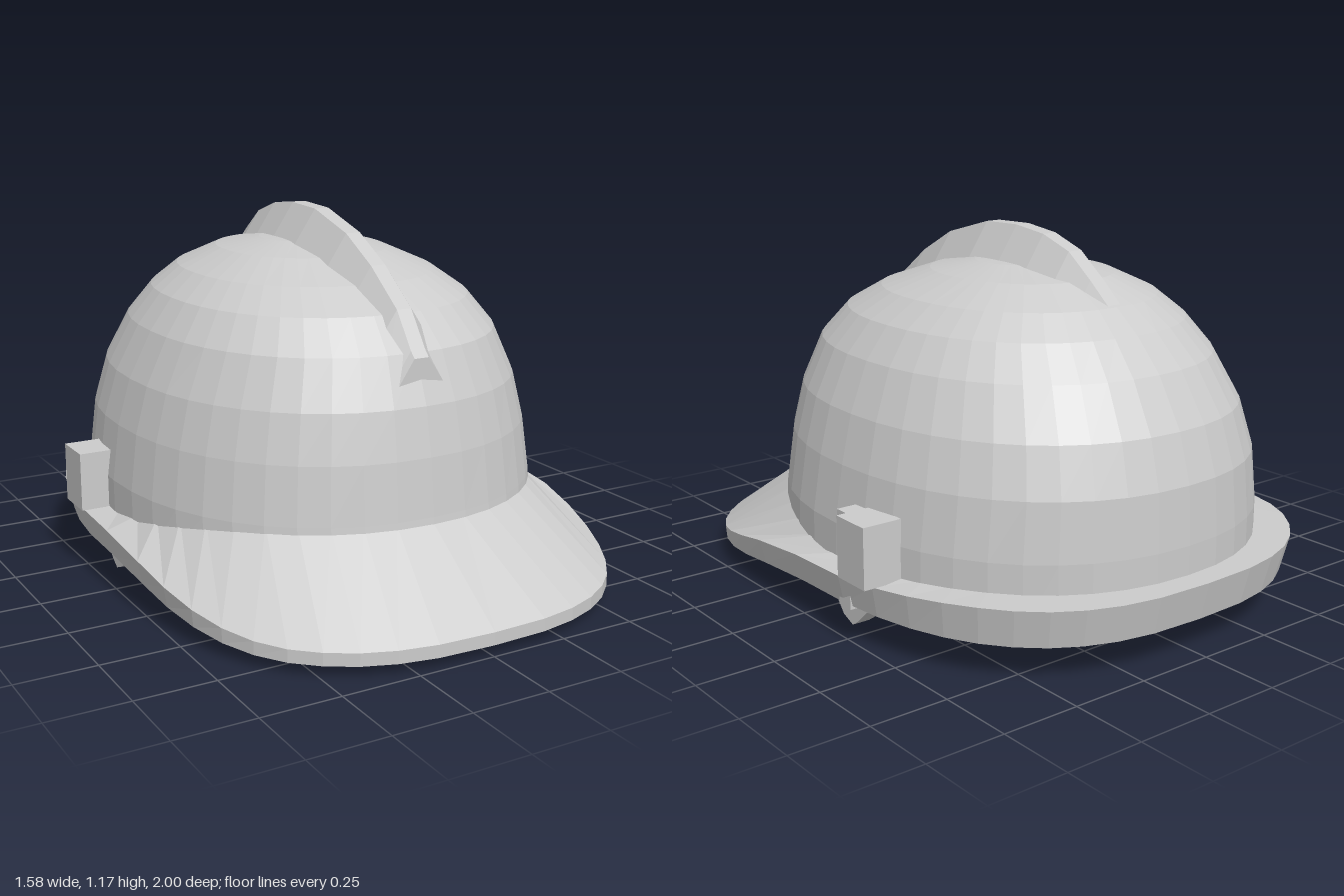
import * as THREE from 'three';

const SEG = 44;
const MID_Z = -0.12;
const material = new THREE.MeshStandardMaterial({ color: 0xcccccc, flatShading: true, side: THREE.DoubleSide });

// Skins a list of equal-length closed rings; optionally joins last ring to first, or caps the ends.
function loft(rings, { closed = false, caps = false } = {}) {
  const n = rings[0].length;
  const index = [];
  const count = closed ? rings.length : rings.length - 1;
  for (let i = 0; i < count; i++) {
    const k = (i + 1) % rings.length;
    for (let j = 0; j < n; j++) {
      const m = (j + 1) % n;
      const a = i * n + j, b = i * n + m, c = k * n + m, d = k * n + j;
      index.push(a, b, c, a, c, d);
    }
  }
  if (caps) {
    const last = (rings.length - 1) * n;
    for (let j = 1; j < n - 1; j++) index.push(0, j + 1, j, last, last + j, last + j + 1);
  }
  const geometry = new THREE.BufferGeometry();
  geometry.setAttribute('position', new THREE.Float32BufferAttribute(rings.flat(2), 3));
  geometry.setIndex(index);
  geometry.computeVertexNormals();
  return geometry;
}

// Superellipse point: angle 0 faces +z.
function oval(angle, halfX, halfZ, power) {
  const s = Math.sin(angle), c = Math.cos(angle);
  return [
    halfX * Math.sign(s) * Math.abs(s) ** (2 / power),
    halfZ * Math.sign(c) * Math.abs(c) ** (2 / power),
  ];
}

const angles = Array.from({ length: SEG }, (_, i) => (i / SEG) * Math.PI * 2);
const frontness = (angle) => THREE.MathUtils.smoothstep(oval(angle, 0.775, 1, 2.7)[1], 0, 0.85);
const lerp = THREE.MathUtils.lerp;

// Shell levels: height, half width, front z, back z
const LEVELS = [
  [0.12, 0.70, 0.69, -0.92], [0.32, 0.70, 0.68, -0.92], [0.50, 0.675, 0.66, -0.91],
  [0.65, 0.635, 0.63, -0.865], [0.80, 0.565, 0.57, -0.775], [0.90, 0.49, 0.47, -0.68],
  [0.97, 0.40, 0.34, -0.59], [1.03, 0.27, 0.16, -0.45], [1.06, 0.14, 0.0, -0.27],
  [1.07, 0.002, -0.12, -0.124],
];

function shellRing([y, w, front, back], inset, isBase) {
  const drop = inset * Math.max(0, (y - 0.5) / 0.57);
  return angles.map((a) => {
    const [x, z] = oval(a, Math.max(w - inset, 0.001), Math.max((front - back) / 2 - inset, 0.001), 2.2);
    return [x, isBase ? lerp(y, 0.25, frontness(a)) : y - drop, z + (front + back) / 2];
  });
}

function shell() {
  const outer = LEVELS.map((l, i) => shellRing(l, 0, i === 0));
  const inner = LEVELS.map((l, i) => shellRing(l, 0.045, i === 0)).reverse();
  return loft([...outer, ...inner], { closed: true });
}

// Brim: flat band at the back and sides, sloping down into a visor at the front
function brim() {
  const ring = (outer, back, side, front, scale = 1) => angles.map((a) => {
    const f = frontness(a);
    const behind = THREE.MathUtils.smoothstep(-Math.cos(a), 0, 0.7);
    const y = lerp(lerp(side, back, behind), front, f);
    if (!outer) {
      const [x, z] = oval(a, 0.68, 0.78, 2.2);
      return [x, y, z + MID_Z];
    }
    const k = lerp(scale, 1, f);
    const [x, z] = oval(a, 0.775, 1, 2.7);
    return [x * k, y, z * k];
  });
  return loft([
    ring(false, 0.11, 0.11, 0.25),
    ring(true, 0.11, 0.11, 0.035, 0.97),
    ring(true, 0.23, 0.2, 0.075),
    ring(false, 0.23, 0.22, 0.315),
  ], { closed: true });
}

// Raised ridge along the crown: z, top height
function crest() {
  const path = [
    [-0.62, 0.94], [-0.5, 1.04], [-0.4, 1.115], [-0.28, 1.155], [-0.15, 1.17], [0, 1.165],
    [0.2, 1.11], [0.35, 1.03], [0.5, 0.92], [0.58, 0.81], [0.6, 0.79],
  ];
  return loft(path.map(([z, y]) => [
    [0.14, y - 0.17, z], [0.025, y, z], [-0.025, y, z], [-0.14, y - 0.17, z],
  ]), { caps: true });
}

// Pointed strap tab hanging under each side
function tab() {
  const shape = new THREE.Shape(
    [[0.02, 0.14], [0.12, 0.02], [0.17, 0], [0.2, 0.02], [0.3, 0.11], [0.3, 0.16]]
      .map(([x, y]) => new THREE.Vector2(x, y)).reverse(),
  );
  return new THREE.ExtrudeGeometry(shape, { depth: 0.06, bevelEnabled: false })
    .rotateY(Math.PI / 2).translate(-0.03, 0, 0);
}

export function createModel() {
  const model = new THREE.Group();
  const add = (name, geometry, x = 0, y = 0, z = 0) => {
    const mesh = new THREE.Mesh(geometry, material);
    mesh.name = name;
    mesh.position.set(x, y, z);
    model.add(mesh);
  };

  add('shell', shell());
  add('brim', brim());
  add('crest', crest());

  // Side fittings
  for (const [side, clipZ] of [[1, -0.34], [-1, -0.245]]) {
    const label = side > 0 ? 'left' : 'right';
    add(`${label}Clip`, new THREE.BoxGeometry(0.13, 0.19, 0.14), side * 0.725, 0.31, clipZ);
    add(`${label}Tab`, tab(), side * 0.65, 0, 0);
  }
  add('leftClipStrap', new THREE.BoxGeometry(0.1, 0.3, 0.06), 0.7, 0.25, -0.24);
  return model;
}
